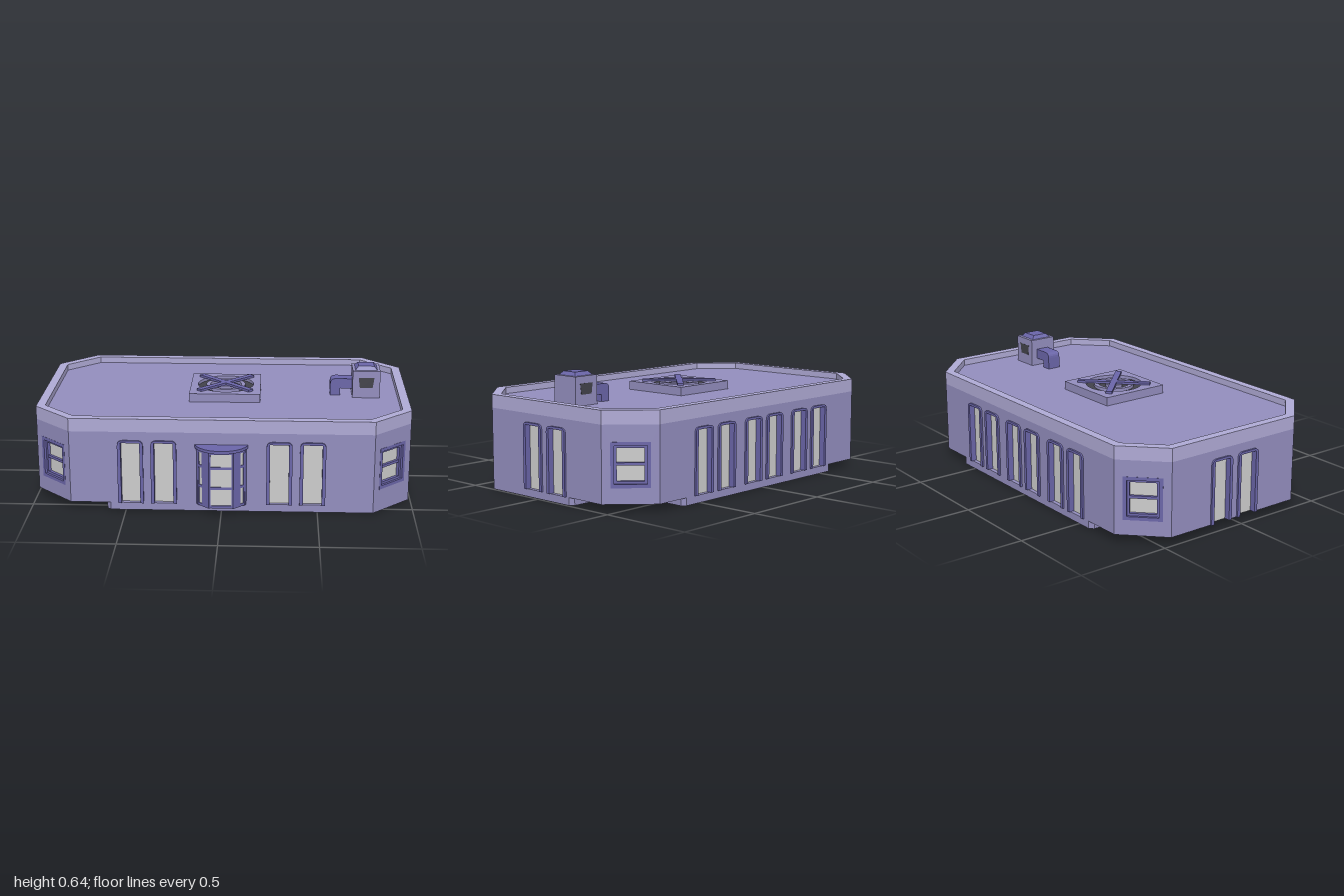
import * as THREE from 'three';

const mat = (color) => new THREE.MeshStandardMaterial({ color, flatShading: true, side: THREE.DoubleSide });
const WALL = mat(0x928dbd), TRIM = mat(0x6a65a8), RIM = mat(0xaea9d4), DARK = mat(0x42424a), GLASS = mat(0xcccccc);
const HX = 0.99, HZ = 0.602, CX = 0.79, CZ = 0.405; // half extents and corner cuts
const FLOOR = 0.04, BAND = 0.43, ROOF = 0.466, TOP = 0.5;

function add(parent, name, geo, material, x = 0, y = 0, z = 0) {
  const m = new THREE.Mesh(geo, material);
  m.name = name;
  m.position.set(x, y, z);
  parent.add(m);
  return m;
}
const box = (w, h, d) => new THREE.BoxGeometry(w, h, d);
const poly = (pts) => new THREE.Shape(pts.map(([x, y]) => new THREE.Vector2(x, y)));
const extrude = (shape, depth, curveSegments = 5) => new THREE.ExtrudeGeometry(shape, { depth, bevelEnabled: false, curveSegments });
// flat plan outline raised to a slab
const slab = (shape, h) => extrude(shape, h, 32).rotateX(-Math.PI / 2);
const rect = (w, y0, y1) => poly([[-w, y0], [w, y0], [w, y1], [-w, y1]]);
const disc = (r) => new THREE.Shape().absarc(0, 0, r, 0, Math.PI * 2);

function withHole(shape, hole) {
  shape.holes.push(hole);
  return shape;
}

function octagon(inset = 0) {
  const k = inset * Math.tan(Math.PI / 8), a = HX - inset, b = HZ - inset, c = CX - k, d = CZ - k;
  return poly([[c, -b], [a, -d], [a, d], [c, b], [-c, b], [-a, d], [-a, -d], [-c, -b]]);
}

// inverted U with rounded shoulders
function tallFrame() {
  const s = new THREE.Shape();
  const o = 0.067, i = 0.049, yt = 0.385, yi = 0.372, r = 0.03;
  s.moveTo(-o, FLOOR);
  s.lineTo(-o, yt - r);
  s.quadraticCurveTo(-o, yt, -o + r, yt);
  s.lineTo(o - r, yt);
  s.quadraticCurveTo(o, yt, o, yt - r);
  s.lineTo(o, FLOOR);
  s.lineTo(i, FLOOR);
  s.lineTo(i, yi);
  s.lineTo(-i, yi);
  s.lineTo(-i, FLOOR);
  return extrude(s, 0.05).translate(0, 0, -0.04);
}

const squareFrame = (w, y0, y1, t, depth) => extrude(withHole(rect(w, y0, y1), rect(w - t, y0 + t, y1 - t)), depth);

// one wall: local +z faces outward; tall openings rise from its foot
function wall(parent, name, len, x, z, angle, { tall = [], door = false, square = false }) {
  const g = new THREE.Group();
  g.name = name;
  g.position.set(x, 0, z);
  g.rotation.y = angle;
  parent.add(g);
  const openings = tall.map((c) => [c, 0.058, 0.375]);
  if (door) openings.push([0, 0.125, 0.355]);
  openings.sort((a, b) => a[0] - b[0]);
  const pts = [[-len / 2, FLOOR]];
  for (const [c, w, h] of openings) pts.push([c - w, FLOOR], [c - w, h], [c + w, h], [c + w, FLOOR]);
  pts.push([len / 2, FLOOR], [len / 2, BAND], [-len / 2, BAND]);
  const shape = poly(pts);
  if (square) shape.holes.push(rect(0.097, 0.121, 0.344));
  add(g, 'wallPanel', extrude(shape, 0.045), WALL, 0, 0, -0.045);
  for (const c of tall) {
    add(g, 'windowFrame', tallFrame(), TRIM, c);
    add(g, 'windowGlass', box(0.11, 0.335, 0.008), GLASS, c, 0.2075, -0.026);
  }
  if (square) {
    // frame flush with the wall, sash and glass set back inside it
    add(g, 'windowFrame', squareFrame(0.098, 0.12, 0.345, 0.018, 0.046), TRIM, 0, 0, -0.045);
    add(g, 'windowSash', squareFrame(0.081, 0.137, 0.328, 0.014, 0.033), TRIM, 0, 0, -0.045);
    add(g, 'windowBar', box(0.15, 0.014, 0.015), TRIM, 0, 0.235, -0.022);
    add(g, 'windowGlass', box(0.15, 0.18, 0.006), GLASS, 0, 0.2325, -0.032);
  }
}

// three-sided glazed porch with a round canopy
function entrance(parent) {
  const g = new THREE.Group();
  g.name = 'entrance';
  g.position.z = HZ;
  parent.add(g);
  const h = 0.31, mid = FLOOR + h / 2;
  add(g, 'canopy', new THREE.CylinderGeometry(0.145, 0.145, 0.016, 32), TRIM, 0, 0.359, -0.042);
  // upright panel between two plan points
  const panel = (name, [x0, z0], [x1, z1], glazed) => {
    const p = new THREE.Group();
    p.name = name;
    p.position.set((x0 + x1) / 2, mid, (z0 + z1) / 2);
    p.rotation.y = Math.atan2(z0 - z1, x1 - x0);
    g.add(p);
    const w = Math.hypot(x1 - x0, z1 - z0);
    add(p, glazed ? 'doorGlass' : 'doorPost', box(w, h, glazed ? 0.004 : 0.012), glazed ? GLASS : TRIM);
    if (!glazed) return;
    for (const y of [-0.147, -0.045, 0.065, 0.147]) add(p, 'doorBar', box(w, 0.014, 0.012), TRIM, 0, y, 0);
    for (const s of [-1, 1]) add(p, 'doorStile', box(0.008, h, 0.012), TRIM, s * (w / 2 - 0.004), 0, 0);
  };
  for (const s of [-1, 1]) {
    panel('doorJamb', [s * 0.136, -0.03], [s * 0.118, 0.012], false);
    panel('sideGlass', [s * 0.118, 0.012], [s * 0.09, 0.037], true);
    panel('frontPost', [s * 0.09, 0.037], [s * 0.06, 0.064], false);
  }
  panel('centreDoor', [-0.062, 0.06], [0.062, 0.06], true);
}

function roofFan(parent) {
  const g = new THREE.Group();
  g.name = 'roofFan';
  parent.add(g);
  const side = 0.1925;
  add(g, 'fanPad', slab(withHole(rect(side, -side, side), disc(0.153)), 0.512 - ROOF), WALL, 0, ROOF, 0);
  add(g, 'fanWell', new THREE.CylinderGeometry(0.156, 0.156, 0.02, 32), DARK, 0, 0.486, 0);
  add(g, 'fanRing', slab(withHole(disc(0.108), disc(0.085)), 0.016), WALL, 0, 0.496, 0);
  add(g, 'fanHub', new THREE.CylinderGeometry(0.045, 0.045, 0.016, 24), WALL, 0, 0.504, 0);
  for (const s of [-1, 1]) add(g, 'fanBar', box(0.4, 0.012, 0.034), TRIM, 0, 0.518, 0).rotation.y = s * Math.PI / 4;
}

function ventUnit(parent) {
  const g = new THREE.Group();
  g.name = 'ventUnit';
  g.position.set(0.77, 0, 0.005);
  parent.add(g);
  add(g, 'ventBox', box(0.15, 0.617 - ROOF, 0.156), WALL, 0, (0.617 + ROOF) / 2, 0);
  const cap = new THREE.CylinderGeometry(0.043 * Math.SQRT2, 0.06 * Math.SQRT2, 0.019, 4).rotateY(Math.PI / 4);
  add(g, 'ventCap', cap, TRIM, 0, 0.6265, 0);
  // dark grilles front and back
  const grille = poly([[-0.035, 0.523], [0.035, 0.523], [0.043, 0.58], [-0.043, 0.58]]);
  for (const s of [-1, 1]) add(g, 'ventGrille', extrude(grille, 0.003), DARK, 0, 0, s * 0.0775 - 0.0015);
  // square duct bending down to the roof
  const d = new THREE.Shape();
  d.moveTo(-0.07, 0.56);
  d.lineTo(-0.165, 0.56);
  d.quadraticCurveTo(-0.195, 0.56, -0.195, 0.53);
  d.lineTo(-0.195, ROOF);
  d.lineTo(-0.14, ROOF);
  d.lineTo(-0.14, 0.505);
  d.lineTo(-0.07, 0.505);
  add(g, 'ventDuct', extrude(d, 0.075), TRIM, 0, 0, -0.0425);
}

export function createModel() {
  const root = new THREE.Group();
  root.name = 'building';
  const g = new THREE.Group();
  g.name = 'pavilion';
  g.position.z = -0.047;
  root.add(g);

  // stepped base: stops short on one side and is notched at a back corner
  const c = 0.02;
  const base = poly([
    [c - 0.6, -HZ], [CX, -HZ], [HX, -CZ], [HX, 0.193 - c], [HX - c, 0.193], [0.62, 0.193],
    [0.62, HZ - c], [0.62 - c, HZ], [c - 0.6, HZ], [-0.6, HZ - c], [-0.6, c - HZ],
  ]);
  add(g, 'base', slab(base, FLOOR), WALL);

  // roof slab and parapet
  add(g, 'roof', slab(octagon(0.04), 0.04), WALL, 0, ROOF - 0.04, 0);
  add(g, 'parapet', slab(withHole(octagon(), octagon(0.047)), TOP - BAND), RIM, 0, BAND, 0);

  // walls
  const outer = [-0.473, -0.3, 0.3, 0.473], pair = [-0.087, 0.087];
  wall(g, 'frontWall', CX * 2, 0, HZ, 0, { tall: outer, door: true });
  wall(g, 'backWall', CX * 2, 0, -HZ, Math.PI, { tall: [...outer, ...pair] });
  for (const s of [-1, 1]) {
    wall(g, 'sideWall', CZ * 2, s * HX, 0, s * Math.PI / 2, { tall: pair });
    for (const t of [-1, 1]) {
      const dx = HX - CX, dz = HZ - CZ;
      wall(g, 'cornerWall', Math.hypot(dx, dz), s * (HX + CX) / 2, t * (HZ + CZ) / 2, Math.atan2(s * dz, t * dx), { square: true });
    }
  }

  entrance(g);
  roofFan(g);
  ventUnit(g);
  return root;
}
